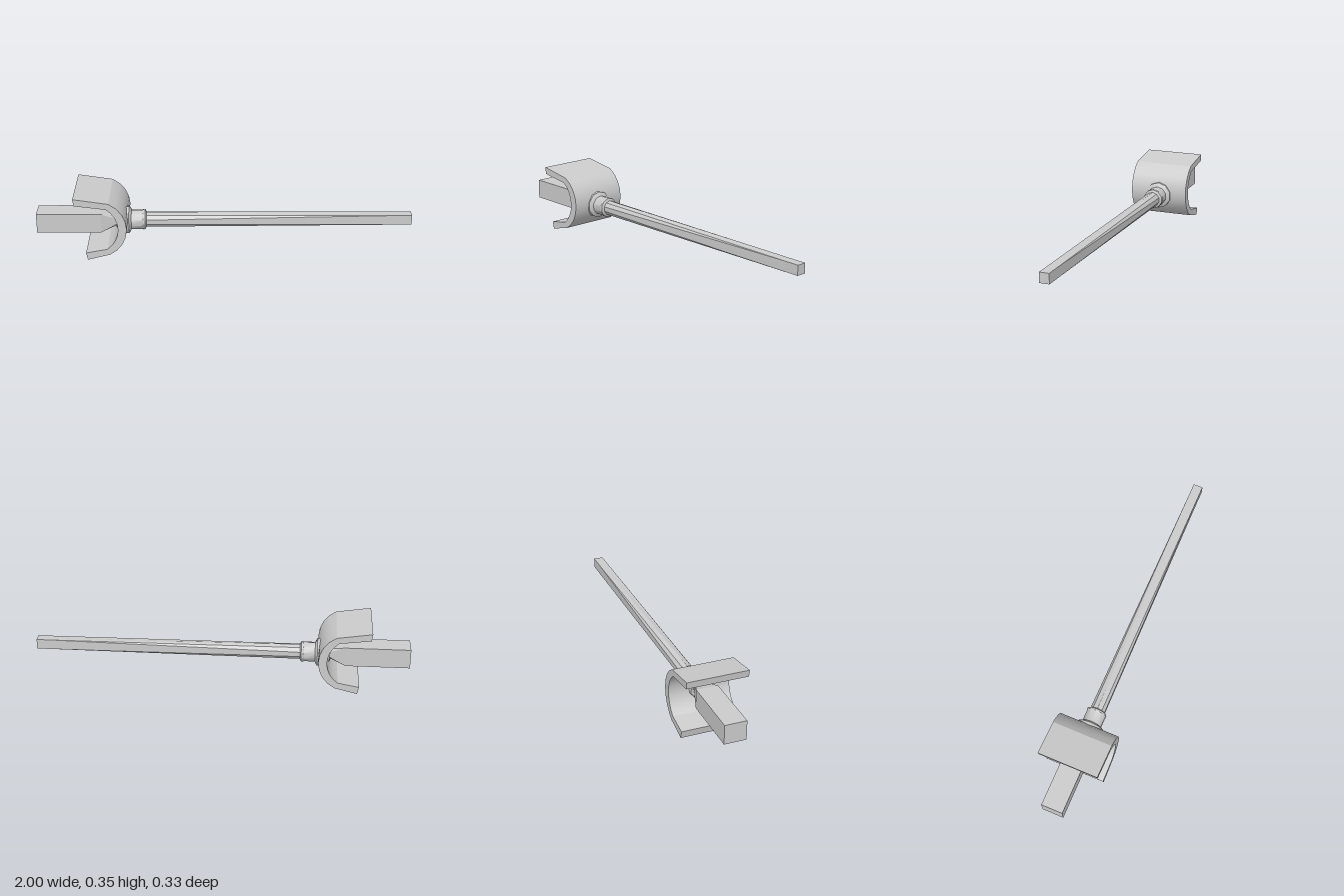
import * as THREE from 'three';
import { toCreasedNormals } from 'three/addons/utils/BufferGeometryUtils.js';

const AXIS_Y = 0.158;
const SIDES = 10;

// Ring of ten [y, z] points, starting at the top
const round = (r) => Array.from({ length: SIDES }, (_, i) => {
  const a = (i / SIDES) * Math.PI * 2;
  return [r * Math.cos(a), r * Math.sin(a)];
});

// Rectangle with the same number of points: neighbouring pairs meet at the corners
const square = (hy, hz) => round(1).map(([y, z], i) => [
  i % 5 === 0 ? Math.sign(y) * hy : (i === 1 || i === 2 || i === 8 || i === 9 ? hy : -hy),
  i % 5 === 0 ? 0 : Math.sign(z) * hz,
]);

// Skin a run of [x, ring] sections along the x axis and cap both ends
function loft(sections, crease) {
  const pos = [];
  const index = [];
  sections.forEach(([x, ring]) => ring.forEach(([y, z]) => pos.push(x, y, z)));
  for (let s = 0; s < sections.length - 1; s++) {
    for (let i = 0; i < SIDES; i++) {
      const a = s * SIDES + i;
      const b = s * SIDES + (i + 1) % SIDES;
      index.push(a, b, a + SIDES, b, b + SIDES, a + SIDES);
    }
  }
  const last = (sections.length - 1) * SIDES;
  for (let i = 1; i < SIDES - 1; i++) {
    index.push(0, i + 1, i, last, last + i, last + i + 1);
  }
  const geo = new THREE.BufferGeometry();
  geo.setAttribute('position', new THREE.Float32BufferAttribute(pos, 3));
  geo.setIndex(index);
  return toCreasedNormals(geo, crease);
}

export function createModel() {
  const group = new THREE.Group();
  const material = new THREE.MeshStandardMaterial({ color: 0xcccccc, side: THREE.DoubleSide });
  const add = (name, geometry, y = 0) => {
    const mesh = new THREE.Mesh(geometry, material);
    mesh.name = name;
    mesh.position.y = y;
    group.add(mesh);
  };

  // Long rod: round at the collar, square at the tip
  add('rod', loft([
    [-0.58, round(0.041)],
    [-0.42, round(0.041)],
    [0.92, square(0.027, 0.026)],
    [1, square(0.027, 0.026)],
  ], 0.2), AXIS_Y);

  // Square block behind the bracket, narrowing to a neck
  add('block', loft([
    [-1, square(0.053, 0.058)],
    [-0.66, square(0.053, 0.058)],
    [-0.57, round(0.032)],
    [-0.53, round(0.032)],
  ], 0.2), 0.162);

  // Stepped collar where the rod passes through the bracket
  add('collar', loft([
    [-0.575, round(0.05)],
    [-0.55, round(0.062)],
    [-0.535, round(0.074)],
    [-0.51, round(0.074)],
    [-0.503, round(0.064)],
    [-0.498, round(0.053)],
    [-0.44, round(0.053)],
    [-0.435, round(0.056)],
    [-0.425, round(0.054)],
    [-0.418, round(0.041)],
  ], 0.65), AXIS_Y);

  // Curved bracket: an arc with two straight lips, extruded across z
  const arc = (cx, r, span, steps) => Array.from({ length: steps + 1 }, (_, i) => {
    const a = span - (2 * span * i) / steps;
    return new THREE.Vector2(cx + r * Math.cos(a), 0.176 + r * Math.sin(a));
  });
  const outline = [
    new THREE.Vector2(-0.79, 0.35),
    ...arc(-0.678, 0.163, 1.11, 8),
    new THREE.Vector2(-0.725, 0),
    new THREE.Vector2(-0.733, 0.04),
    ...arc(-0.7, 0.14, 0.96, 8).reverse(),
    new THREE.Vector2(-0.785, 0.312),
  ];
  const bracket = new THREE.ExtrudeGeometry(new THREE.Shape(outline), { depth: 0.326, bevelEnabled: false });
  bracket.translate(0, 0, -0.163);
  add('bracket', toCreasedNormals(bracket, 0.35));

  return group;
}
